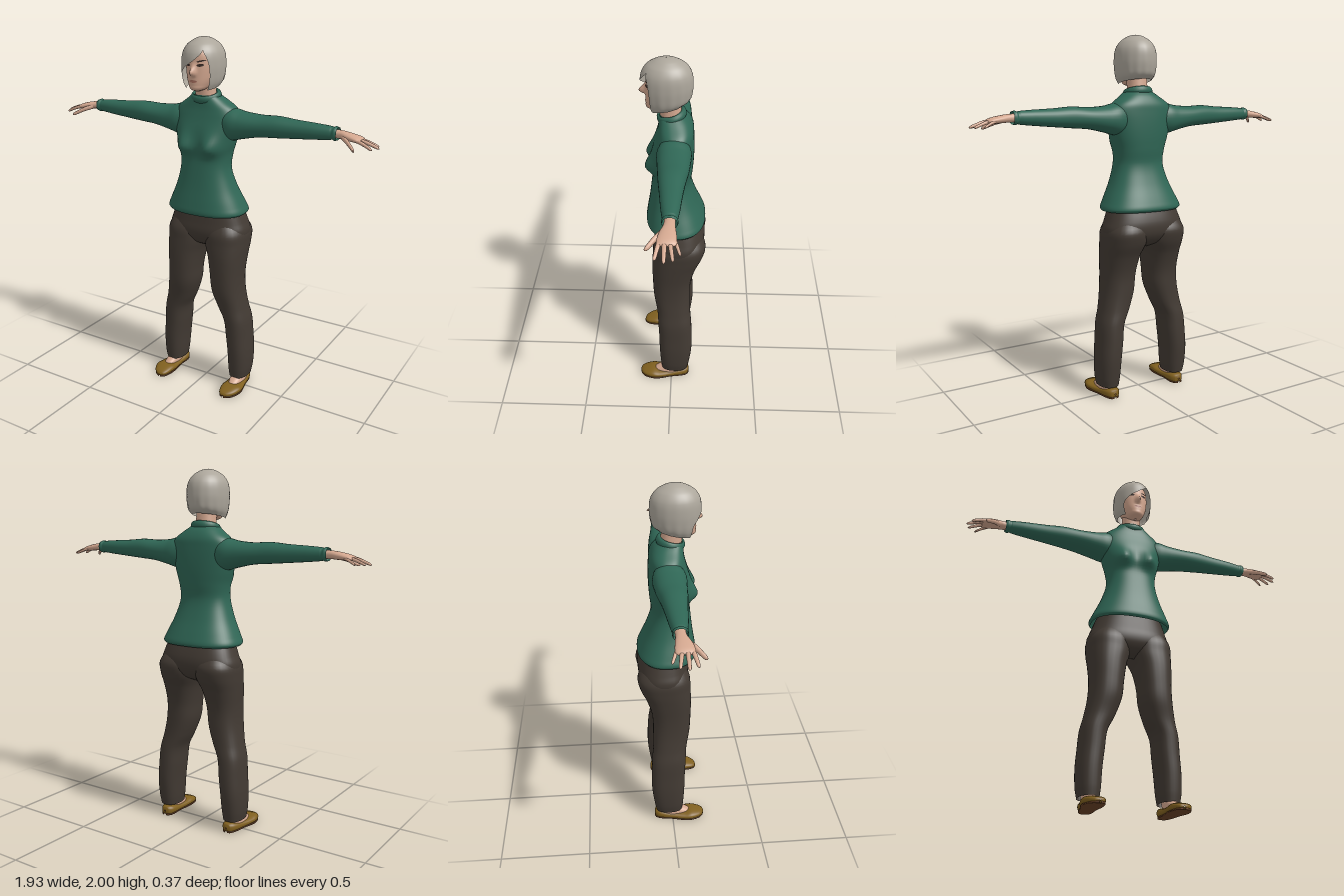
import * as THREE from 'three';

const paint = (name, color, side = THREE.FrontSide) => {
  const m = new THREE.MeshStandardMaterial({ color, side });
  m.name = name;
  return m;
};

// Smooth interpolation of rows [t, v1, v2, ...] at t
function sample(rows, t) {
  const n = rows.length;
  let i = 0;
  while (i < n - 2 && t > rows[i + 1][0]) i++;
  const p = rows[i], q = rows[i + 1], d = q[0] - p[0];
  const s = Math.min(1, Math.max(0, (t - p[0]) / d));
  const slope = (k, c) => {
    const a = rows[Math.max(0, k - 1)], b = rows[Math.min(n - 1, k + 1)];
    return (b[c] - a[c]) / (b[0] - a[0]);
  };
  return p.map((v, c) => c === 0 ? t
    : v * (2 * s ** 3 - 3 * s * s + 1) + q[c] * (3 * s * s - 2 * s ** 3)
      + d * slope(i, c) * (s ** 3 - 2 * s * s + s) + d * slope(i + 1, c) * (s ** 3 - s * s));
}

const AXES = {
  y: (a, t, b) => new THREE.Vector3(a, t, b),
  x: (a, t, b) => new THREE.Vector3(t, b, a),
  z: (a, t, b) => new THREE.Vector3(b, a, t),
};

// Skin of rounded sections; rows are [t, centreA, radiusA, centreB, radiusB]
function loft(rows, { axis = 'y', n = 2.2, seg = 32, steps = 5, span = null, deform = null } = {}) {
  const ts = [rows[0][0]];
  for (let i = 0; i < rows.length - 1; i++)
    for (let k = 1; k <= steps; k++) ts.push(rows[i][0] + (rows[i + 1][0] - rows[i][0]) * k / steps);
  const pos = [], idx = [], cols = span ? seg + 1 : seg;
  const pw = v => Math.sign(v) * Math.abs(v) ** (2 / n);
  for (const t of ts) {
    const [, ca, ra, cb, rb] = sample(rows, t);
    const [s0, s1] = span ? span(t) : [0, Math.PI * 2];
    for (let j = 0; j < cols; j++) {
      const th = s0 + (s1 - s0) * j / seg;
      const p = AXES[axis](ca + ra * pw(Math.sin(th)), t, cb + rb * pw(Math.cos(th)));
      if (deform) deform(p, th);
      pos.push(p.x, p.y, p.z);
    }
  }
  for (let i = 0; i < ts.length - 1; i++)
    for (let j = 0; j < seg; j++) {
      const a = i * cols + j, b = i * cols + (j + 1) % cols;
      idx.push(a, b, b + cols, a, b + cols, a + cols);
    }
  const g = new THREE.BufferGeometry();
  g.setAttribute('position', new THREE.Float32BufferAttribute(pos, 3));
  g.setIndex(idx);
  g.computeVertexNormals();
  return g;
}

function mirrored(g) {
  const m = g.clone().scale(-1, 1, 1), ix = m.index.array;
  for (let i = 0; i < ix.length; i += 3) [ix[i], ix[i + 1]] = [ix[i + 1], ix[i]];
  m.computeVertexNormals();
  return m;
}

export function createModel() {
  const root = new THREE.Group();
  const skin = paint('skin', 0xd3a78f), hair = paint('grey hair', 0xaca69b, THREE.DoubleSide);
  const knit = paint('green knit', 0x2f6655, THREE.DoubleSide);
  const cloth = paint('dark brown cloth', 0x423a33, THREE.DoubleSide);
  const shoe = paint('ochre leather', 0x80601f), soleMat = paint('brown sole', 0x6b4226);
  const dark = paint('dark brown eye', 0x33251f), lip = paint('lip', 0xa8705f);
  const add = (name, g, m) => {
    const mesh = new THREE.Mesh(g, m);
    mesh.name = name;
    root.add(mesh);
  };
  const pair = (name, g, m) => { add('left' + name, g, m); add('right' + name, mirrored(g), m); };

  // Head with a modelled nose
  const headRows = [
    [1.722, 0, 0.004, 0.085, 0.01], [1.735, 0, 0.035, 0.08, 0.05], [1.76, 0, 0.056, 0.06, 0.075],
    [1.80, 0, 0.074, 0.04, 0.095], [1.87, 0, 0.084, 0.03, 0.102], [1.93, 0, 0.076, 0.025, 0.098],
    [1.97, 0, 0.04, 0.025, 0.05], [1.98, 0, 0.002, 0.025, 0.002],
  ];
  const nose = (x, y) => 0.036 * Math.exp(-((x / 0.014) ** 2))
    * Math.exp(-(((y - 1.822) / (y < 1.822 ? 0.012 : 0.032)) ** 2));
  add('head', loft(headRows, {
    seg: 96, steps: 8, deform: p => { if (p.z > 0.06) p.z += nose(p.x, p.y); },
  }), skin);
  add('neck', loft([[1.62, 0, 0.065, 0, 0.06], [1.70, 0, 0.056, 0.008, 0.056], [1.80, 0, 0.052, 0.02, 0.055]]), skin);

  // Thin facial details following the face surface
  const faceMark = (name, x, y, w, h, m, tilt = 0) => {
    const g = new THREE.CircleGeometry(1, 20).scale(w, h, 1).rotateZ(tilt).translate(x, y, 0);
    const p = g.attributes.position;
    for (let i = 0; i < p.count; i++) {
      const [, , rx, cz, rz] = sample(headRows, p.getY(i));
      const px = p.getX(i), k = Math.min(1, Math.abs(px / rx)) ** 2.2;
      p.setZ(i, cz + rz * (1 - k) ** (1 / 2.2) + nose(px, p.getY(i)) + 0.003);
    }
    g.computeVertexNormals();
    add(name, g, m);
  };
  for (const s of [1, -1]) {
    faceMark(s > 0 ? 'leftEye' : 'rightEye', s * 0.037, 1.863, 0.017, 0.007, dark, s * 0.1);
    faceMark(s > 0 ? 'leftBrow' : 'rightBrow', s * 0.04, 1.884, 0.022, 0.004, dark, s * 0.2);
  }
  faceMark('lips', 0, 1.780, 0.023, 0.007, lip);

  // Bob haircut, open at the face with a fringe swept to one side
  const edges = [
    [1.735, 0.85, -0.85], [1.80, 0.9, -0.82], [1.84, 0.88, -0.5], [1.87, 0.84, -0.1],
    [1.90, 0.76, 0.28], [1.94, 0.6, 0.6], [2.0, 0.6, 0.6],
  ];
  const hairRows = [
    [1.728, 0, 0.086, 0.035, 0.100], [1.76, 0, 0.101, 0.03, 0.120], [1.80, 0, 0.108, 0.03, 0.129],
    [1.86, 0, 0.111, 0.03, 0.133], [1.92, 0, 0.104, 0.03, 0.126], [1.96, 0, 0.082, 0.03, 0.101],
    [1.985, 0, 0.05, 0.03, 0.062], [1.996, 0, 0.025, 0.03, 0.03], [2.0, 0, 0.001, 0.03, 0.001],
  ];
  add('hair', loft(hairRows, {
    n: 2, seg: 120, steps: 6,
    span: t => { const [, l, r] = sample(edges, t); return [l, Math.min(r, l) + Math.PI * 2]; },
    deform: (p, th) => {
      const low = Math.max(0, (1.97 - p.y) / 0.24);
      const k = 1 + 0.012 * low * Math.sin(th * 15);
      p.x *= k;
      p.z = 0.03 + (p.z - 0.03) * k;
      p.y += 0.035 * low * low * (1 - Math.cos(th)) / 2;
    },
  }), hair);

  // Sweater body with bust and flared hem
  add('sweaterBody', loft([
    [1.05, 0, 0.222, -0.02, 0.152], [1.065, 0, 0.232, -0.02, 0.162], [1.10, 0, 0.218, -0.016, 0.155],
    [1.20, 0, 0.172, -0.003, 0.126], [1.30, 0, 0.143, 0.005, 0.106], [1.38, 0, 0.148, -0.002, 0.106],
    [1.45, 0, 0.168, -0.005, 0.108], [1.52, 0, 0.184, -0.007, 0.107], [1.59, 0, 0.188, -0.014, 0.097],
    [1.63, 0, 0.168, -0.016, 0.09], [1.67, 0, 0.112, -0.008, 0.078], [1.70, 0, 0.07, 0.006, 0.062],
  ], {
    seg: 64, n: 2.4,
    deform: p => {
      if (p.z > 0) for (const s of [1, -1]) {
        const dy = (p.y - 1.425) / (p.y < 1.425 ? 0.04 : 0.07);
        p.z += 0.048 * Math.exp(-(((p.x - s * 0.08) / 0.055) ** 2) - dy * dy);
      }
    },
  }), knit);
  add('collar', new THREE.TorusGeometry(0.066, 0.014, 12, 40).scale(1.05, 0.97, 1.5)
    .rotateX(Math.PI / 2 + 0.25).translate(0, 1.69, 0.005), knit);

  // Sleeves with a gathered cuff
  pair('Sleeve', loft([
    [0.09, -0.015, 0.07, 1.55, 0.075], [0.16, -0.013, 0.088, 1.548, 0.085], [0.22, -0.013, 0.086, 1.549, 0.072],
    [0.32, -0.013, 0.078, 1.556, 0.058], [0.42, -0.01, 0.067, 1.562, 0.056], [0.52, -0.01, 0.056, 1.562, 0.048],
    [0.64, -0.011, 0.045, 1.564, 0.04], [0.71, -0.012, 0.036, 1.565, 0.034], [0.722, -0.012, 0.034, 1.565, 0.031],
    [0.734, -0.012, 0.038, 1.565, 0.036], [0.748, -0.012, 0.034, 1.565, 0.032],
  ], { axis: 'x' }), knit);

  // Hands: palm, four fingers and a thumb
  pair('Palm', loft([
    [0.70, -0.012, 0.026, 1.565, 0.022], [0.76, -0.011, 0.027, 1.564, 0.021], [0.80, -0.006, 0.037, 1.56, 0.02],
    [0.85, -0.003, 0.045, 1.553, 0.016], [0.875, -0.003, 0.04, 1.548, 0.01], [0.882, -0.003, 0.02, 1.546, 0.002],
  ], { axis: 'x', seg: 24 }), skin);
  const finger = (name, x0, z0, x1, z1, y0, y1, r) => {
    const at = (s, w) => [x0 + (x1 - x0) * s, z0 + (z1 - z0) * s, r * w * 1.1,
      y0 + (y1 - y0) * s ** 1.4, r * w];
    pair(name, loft([at(0, 1), at(0.4, 1), at(0.7, 0.88), at(0.92, 0.7), at(1, 0.03)],
      { axis: 'x', seg: 12, steps: 3 }), skin);
  };
  finger('Index', 0.845, 0.027, 0.944, 0.048, 1.553, 1.518, 0.0095);
  finger('Middle', 0.85, 0.007, 0.966, 0.006, 1.553, 1.52, 0.0095);
  finger('Ring', 0.845, -0.014, 0.952, -0.033, 1.553, 1.52, 0.009);
  finger('Little', 0.83, -0.032, 0.912, -0.064, 1.553, 1.52, 0.008);
  finger('Thumb', 0.775, 0.008, 0.872, 0.092, 1.556, 1.51, 0.0125);

  // Trousers: hips and two legs
  add('trouserHips', loft([
    [0.845, 0, 0.03, -0.03, 0.05], [0.87, 0, 0.12, -0.035, 0.1], [0.91, 0, 0.222, -0.038, 0.131],
    [0.95, 0, 0.238, -0.04, 0.141], [1.0, 0, 0.222, -0.04, 0.137], [1.08, 0, 0.192, -0.03, 0.12],
  ], { seg: 48, n: 2.5 }), cloth);
  pair('TrouserLeg', loft([
    [0.065, 0.22, 0.054, -0.02, 0.078], [0.12, 0.221, 0.062, -0.022, 0.086], [0.22, 0.219, 0.066, -0.025, 0.095],
    [0.32, 0.21, 0.068, -0.024, 0.097], [0.42, 0.2, 0.07, -0.019, 0.097], [0.50, 0.172, 0.08, -0.012, 0.096],
    [0.60, 0.146, 0.089, -0.002, 0.104], [0.70, 0.138, 0.092, -0.001, 0.109], [0.80, 0.132, 0.103, -0.014, 0.124],
    [0.88, 0.121, 0.118, -0.034, 0.141], [0.95, 0.12, 0.114, -0.042, 0.142], [1.03, 0.11, 0.07, -0.035, 0.09],
  ], { n: 2.4 }), cloth);

  // Bare feet in flat slip-on shoes
  pair('Foot', loft([
    [0.02, 0.225, 0.038, 0.01, 0.098], [0.045, 0.224, 0.037, 0.012, 0.088], [0.06, 0.222, 0.036, 0.002, 0.075],
    [0.085, 0.22, 0.034, -0.022, 0.052], [0.16, 0.22, 0.036, -0.028, 0.048],
  ]), skin);
  pair('Shoe', loft([
    [-0.107, 0.028, 0.004, 0.216, 0.004], [-0.10, 0.028, 0.022, 0.216, 0.025], [-0.07, 0.029, 0.026, 0.217, 0.042],
    [0.0, 0.024, 0.021, 0.224, 0.047], [0.07, 0.024, 0.02, 0.229, 0.057], [0.11, 0.026, 0.023, 0.23, 0.058],
    [0.155, 0.022, 0.018, 0.226, 0.045], [0.18, 0.018, 0.011, 0.221, 0.025], [0.188, 0.016, 0.002, 0.219, 0.003],
  ], { axis: 'z', n: 2.6 }), shoe);
  pair('Sole', loft([
    [-0.107, 0.006, 0.005, 0.216, 0.006], [-0.10, 0.006, 0.006, 0.216, 0.024], [-0.07, 0.006, 0.006, 0.217, 0.038],
    [0.0, 0.006, 0.006, 0.224, 0.042], [0.09, 0.006, 0.006, 0.23, 0.056], [0.155, 0.006, 0.006, 0.226, 0.044],
    [0.18, 0.006, 0.006, 0.221, 0.024], [0.188, 0.006, 0.005, 0.219, 0.004],
  ], { axis: 'z', n: 4 }), soleMat);

  return root;
}
